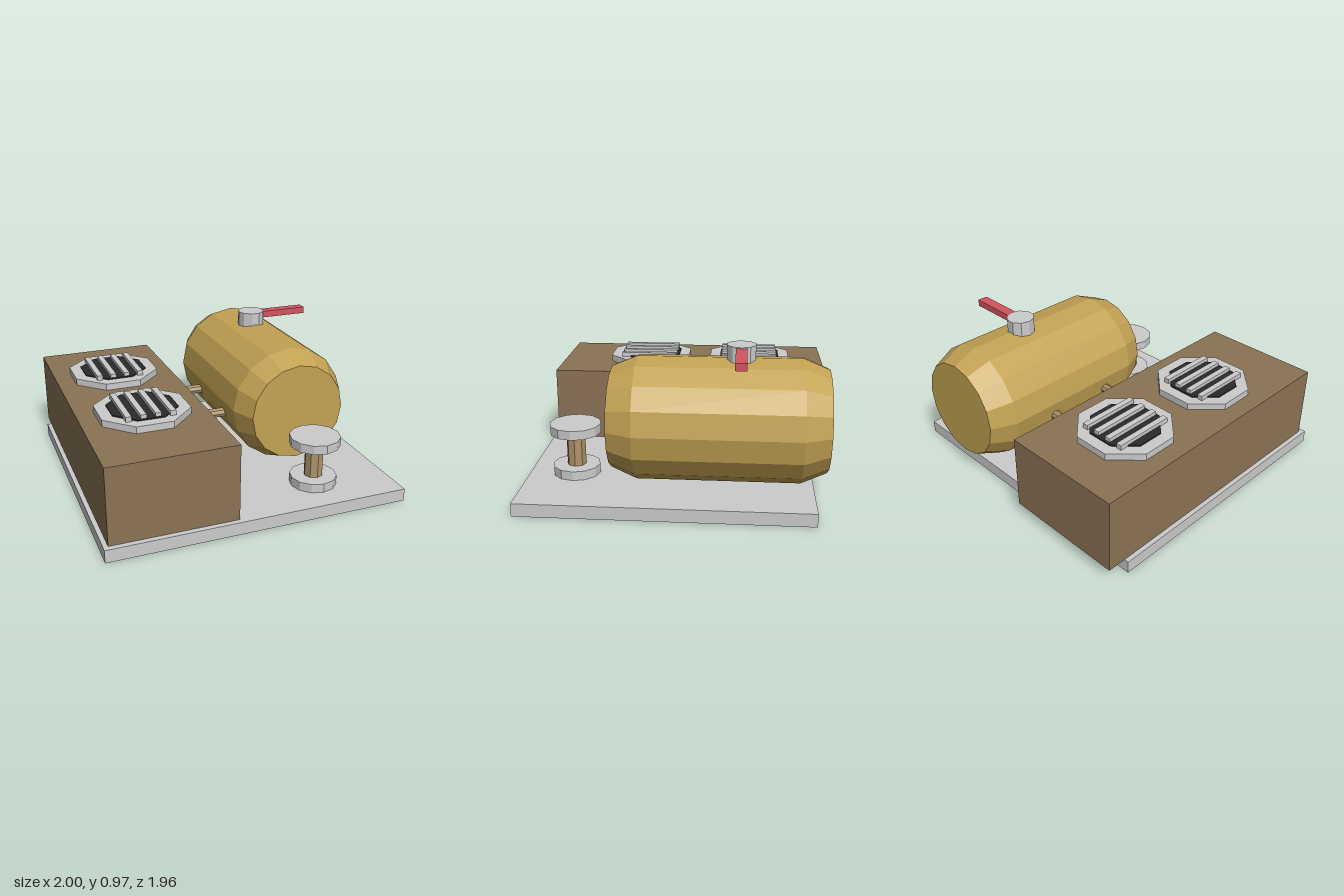
import * as THREE from 'three';

const material = (color) => new THREE.MeshStandardMaterial({ color, flatShading: true });

export function createModel() {
  const model = new THREE.Group();
  const grey = material(0xcccccc);
  const brown = material(0x8b7355);
  const brass = material(0xc3a253);
  const tan = material(0xb0946a);
  const red = material(0xd4545e);
  const dark = material(0x2a2a2b);

  const add = (name, geometry, mat, x, y, z, parent = model) => {
    const mesh = new THREE.Mesh(geometry, mat);
    mesh.name = name;
    mesh.position.set(x, y, z);
    parent.add(mesh);
    return mesh;
  };
  // Box given by its lower and upper limits
  const box = (name, mat, [x0, x1], [y0, y1], [z0, z1], parent) =>
    add(name, new THREE.BoxGeometry(x1 - x0, y1 - y0, z1 - z0), mat,
      (x0 + x1) / 2, (y0 + y1) / 2, (z0 + z1) / 2, parent);
  // Upright prism between two heights
  const prism = (name, mat, r, sides, x, [y0, y1], z, turn = 0, parent = model) =>
    add(name, new THREE.CylinderGeometry(r, r, y1 - y0, sides).rotateY(turn), mat,
      x, (y0 + y1) / 2, z, parent);

  // Base plate and stove cabinet
  box('basePlate', grey, [-1, 1], [0, 0.085], [-0.86, 0.98]);
  box('cabinet', brown, [-0.97, -0.15], [0.085, 0.59], [-0.985, 0.945]);

  // Two octagonal burners with a dark well and four grate bars each
  for (const z of [-0.443, 0.295]) {
    const burner = new THREE.Group();
    burner.name = 'burner';
    burner.position.set(-0.56, 0, z);
    model.add(burner);
    prism('burnerRim', grey, 0.314, 8, 0, [0.585, 0.635], 0, Math.PI / 8, burner);
    prism('burnerWell', dark, 0.233, 8, 0, [0.6, 0.643], 0, Math.PI / 8, burner);
    for (let i = 0; i < 4; i++) {
      const x = (i - 1.5) * 0.095;
      box('grateBar', grey, [x - 0.019, x + 0.019], [0.63, 0.668], [-0.2, 0.205], burner);
    }
  }

  // Horizontal tank with tapered ends
  const profile = [[0, -0.94], [0.33, -0.94], [0.4, -0.775], [0.4, 0.26], [0.33, 0.425], [0, 0.425]]
    .map(([r, h]) => new THREE.Vector2(r, h));
  add('tank', new THREE.LatheGeometry(profile, 16).rotateX(Math.PI / 2), brass, 0.485, 0.485, 0);

  // Pipes joining cabinet and tank
  for (const z of [-0.438, 0.032]) {
    add('pipe', new THREE.CylinderGeometry(0.034, 0.034, 0.3, 8).rotateZ(Math.PI / 2), tan,
      -0.03, 0.385, z);
  }

  // Valve on top of the tank
  prism('valveBody', grey, 0.094, 10, 0.485, [0.84, 0.97], -0.388, Math.PI / 2);
  box('valveHandle', red, [0.5, 0.905], [0.917, 0.963], [-0.424, -0.354]);

  // Stool in front of the tank
  prism('stoolFoot', grey, 0.155, 12, 0.485, [0.085, 0.145], 0.676);
  prism('stoolPost', tan, 0.062, 8, 0.485, [0.14, 0.37], 0.676);
  prism('stoolSeat', grey, 0.167, 12, 0.485, [0.365, 0.425], 0.676);

  return model;
}
